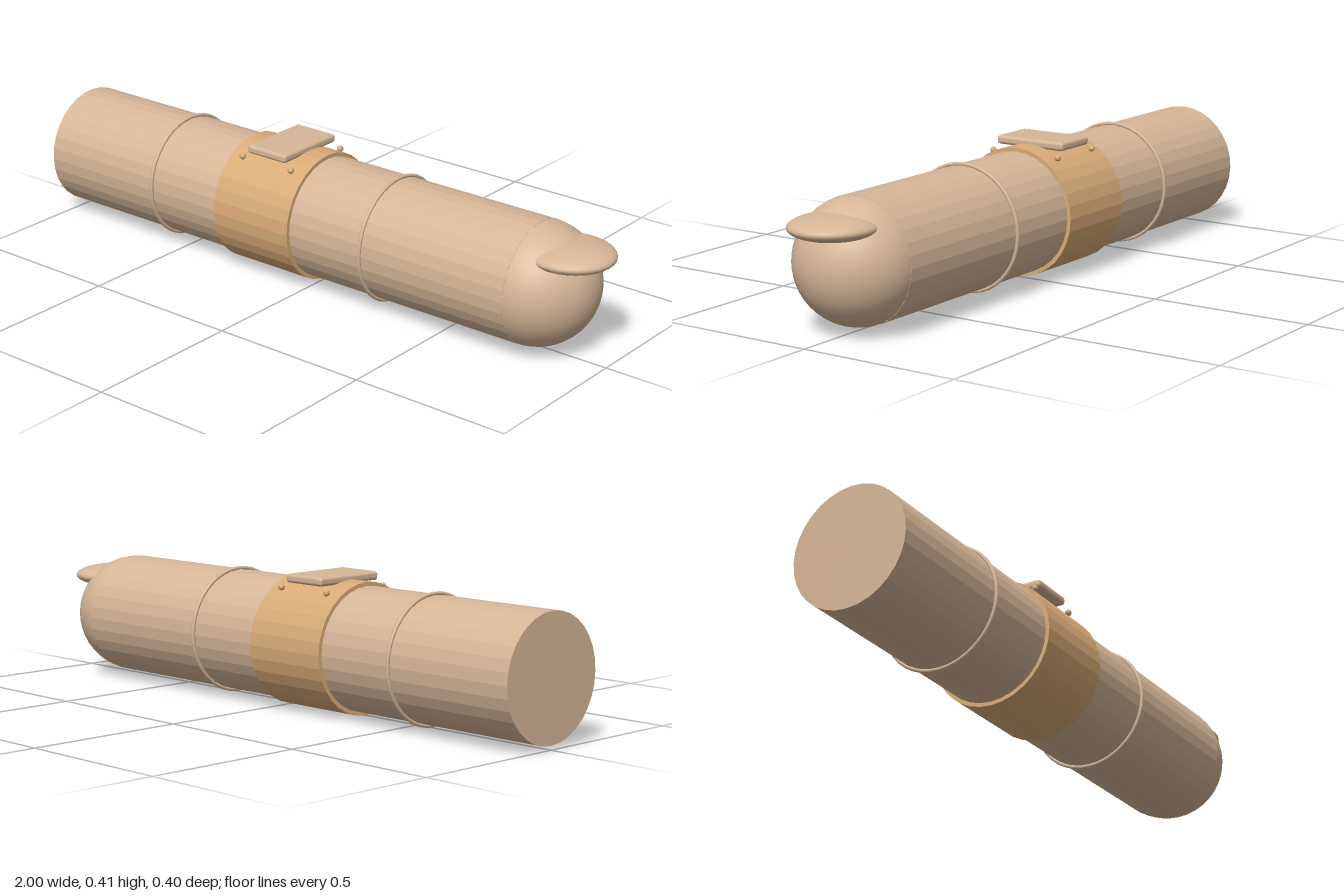
import * as THREE from 'three';
import { RoundedBoxGeometry } from 'three/addons/geometries/RoundedBoxGeometry.js';

export function createModel() {
  const model = new THREE.Group();
  const mat = (name, color, flatShading = false) => {
    const m = new THREE.MeshStandardMaterial({ color, flatShading });
    m.name = name;
    return m;
  };
  const skin = mat('skin tan', 0xd6b698);
  const orange = mat('band orange', 0xd9ab78);
  // faceted versions of the same two colours for the long tubes
  skin.flatShading = false;
  const add = (name, geometry, material, x, y, z) => {
    const mesh = new THREE.Mesh(geometry, material);
    mesh.name = name;
    mesh.position.set(x, y, z);
    model.add(mesh);
    return mesh;
  };
  const AXIS = 0.2; // height of the long axis

  // tube along x, with one flat face per side
  const tube = (name, x0, x1, r, material) => {
    const g = new THREE.CylinderGeometry(r, r, x1 - x0, 32).rotateZ(Math.PI / 2).toNonIndexed();
    g.computeVertexNormals();
    return add(name, g, material, (x0 + x1) / 2, AXIS, 0);
  };

  // body and rounded tip
  tube('body', -1, 0.765, 0.187, skin);
  const tip = new THREE.SphereGeometry(0.186, 40, 20, 0, Math.PI * 2, 0, Math.PI / 2).rotateZ(-Math.PI / 2);
  add('tip', tip, skin, 0.76, AXIS, 0);

  // flattened nail on the tip
  const nail = new THREE.SphereGeometry(1, 36, 20).scale(0.137, 0.036, 0.128);
  add('nail', nail, skin, 0.863, 0.316, 0);

  // wide band and thin hoops
  tube('band', -0.295, -0.005, 0.199, orange);
  for (const x of [-0.563, 0.262]) {
    add('hoop', new THREE.TorusGeometry(0.191, 0.006, 10, 40).rotateY(Math.PI / 2), skin, x, AXIS, 0);
  }

  // plate on top of the band with a rivet near each corner
  add('plate', new RoundedBoxGeometry(0.15, 0.027, 0.242, 3, 0.01), skin, -0.15, 0.401, 0);
  for (const x of [-0.245, -0.055]) {
    for (const z of [-0.118, 0.118]) {
      add('rivet', new THREE.SphereGeometry(0.01, 14, 10), orange, x, 0.372, z);
    }
  }
  return model;
}
